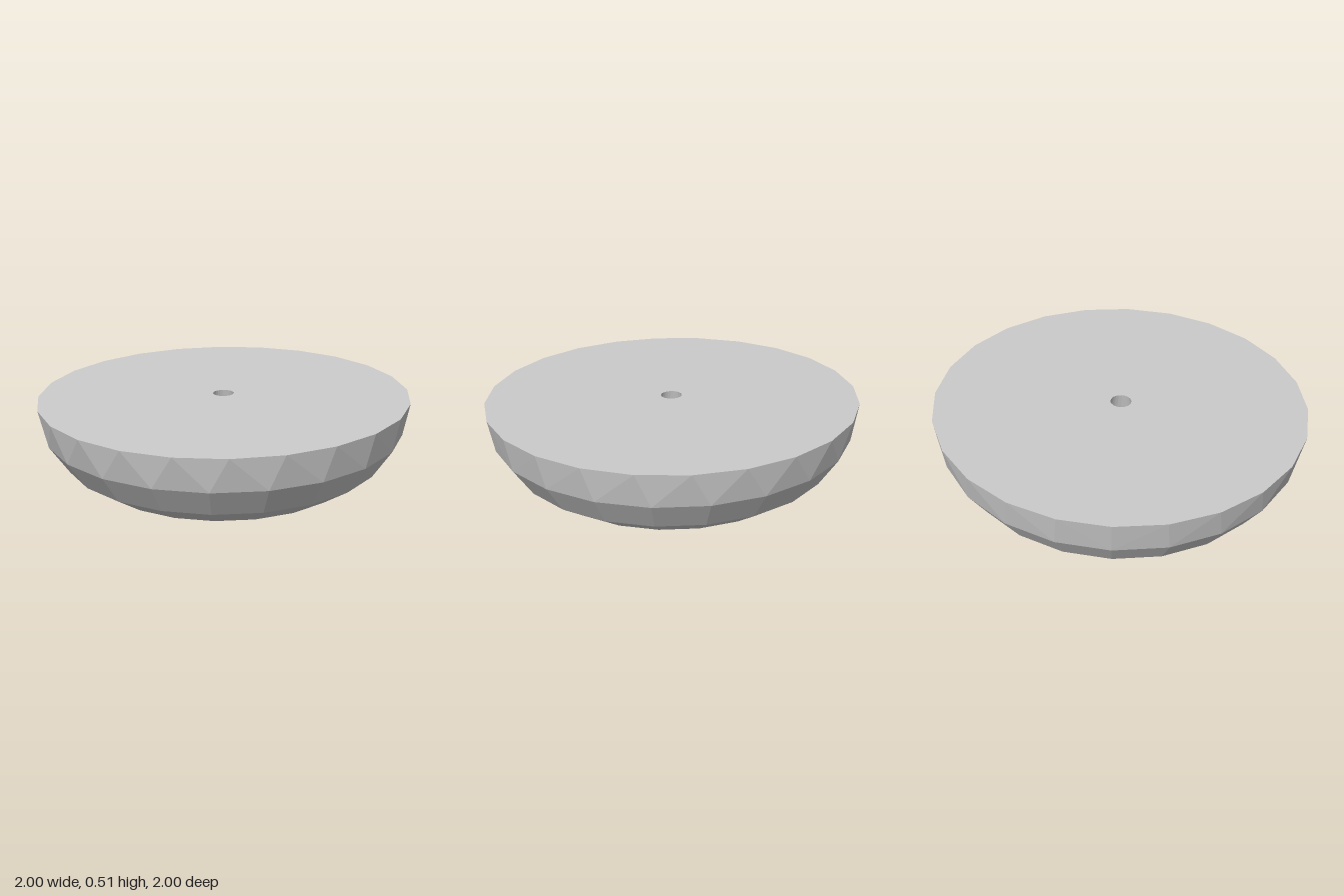
import * as THREE from 'three';

const TUBE_CENTRE = 0.528; // radius of the ring's centre line
const TUBE_RADIUS = 0.472;
const RIM_SIDES = 24;
const BODY_SIDES = 22;

// Horizontal ring of points starting on +x
function ring(radius, y, sides) {
  return Array.from({ length: sides }, (_, i) => {
    const t = (i / sides) * Math.PI * 2;
    return new THREE.Vector3(radius * Math.cos(t), y, radius * Math.sin(t));
  });
}

// Band of triangles between two rings, which may differ in side count
function stitch(a, b, out) {
  let i = 0, j = 0;
  while (i < a.length || j < b.length) {
    const p = a[i % a.length], q = b[j % b.length];
    const advanceA = j >= b.length || (i < a.length && (i + 1) / a.length <= (j + 1) / b.length);
    const next = advanceA ? a[++i % a.length] : b[++j % b.length];
    for (const v of [p, q, next]) out.push(v.x, v.y, v.z);
  }
}

function meshFromRings(name, rings, material) {
  const positions = [];
  for (let k = 0; k < rings.length - 1; k++) stitch(rings[k], rings[k + 1], positions);
  const geometry = new THREE.BufferGeometry();
  geometry.setAttribute('position', new THREE.Float32BufferAttribute(positions, 3));
  geometry.computeVertexNormals();
  const mesh = new THREE.Mesh(geometry, material);
  mesh.name = name;
  return mesh;
}

export function createModel() {
  const group = new THREE.Group();
  group.name = 'halfRing';
  const material = new THREE.MeshStandardMaterial({ color: 0xcccccc, flatShading: true });

  // Lower half of a torus, from the hole's rim under to the outer rim
  const steps = 8;
  const rings = [];
  for (let k = 0; k <= steps; k++) {
    const angle = Math.PI * (1 + k / steps);
    const sides = k === 0 || k === steps ? RIM_SIDES : BODY_SIDES;
    rings.push(ring(TUBE_CENTRE + TUBE_RADIUS * Math.cos(angle), TUBE_RADIUS * Math.sin(angle), sides));
  }
  const body = meshFromRings('roundedBody', rings, material);

  // Flat top with the small centre hole
  const top = meshFromRings('flatTop', [rings[steps], rings[0]], material);

  // The whole piece leans slightly forward
  const tilted = new THREE.Group();
  tilted.name = 'tiltedBowl';
  tilted.add(body, top);
  tilted.rotation.x = 0.025;
  tilted.position.y = 0.486;
  group.add(tilted);
  return group;
}
